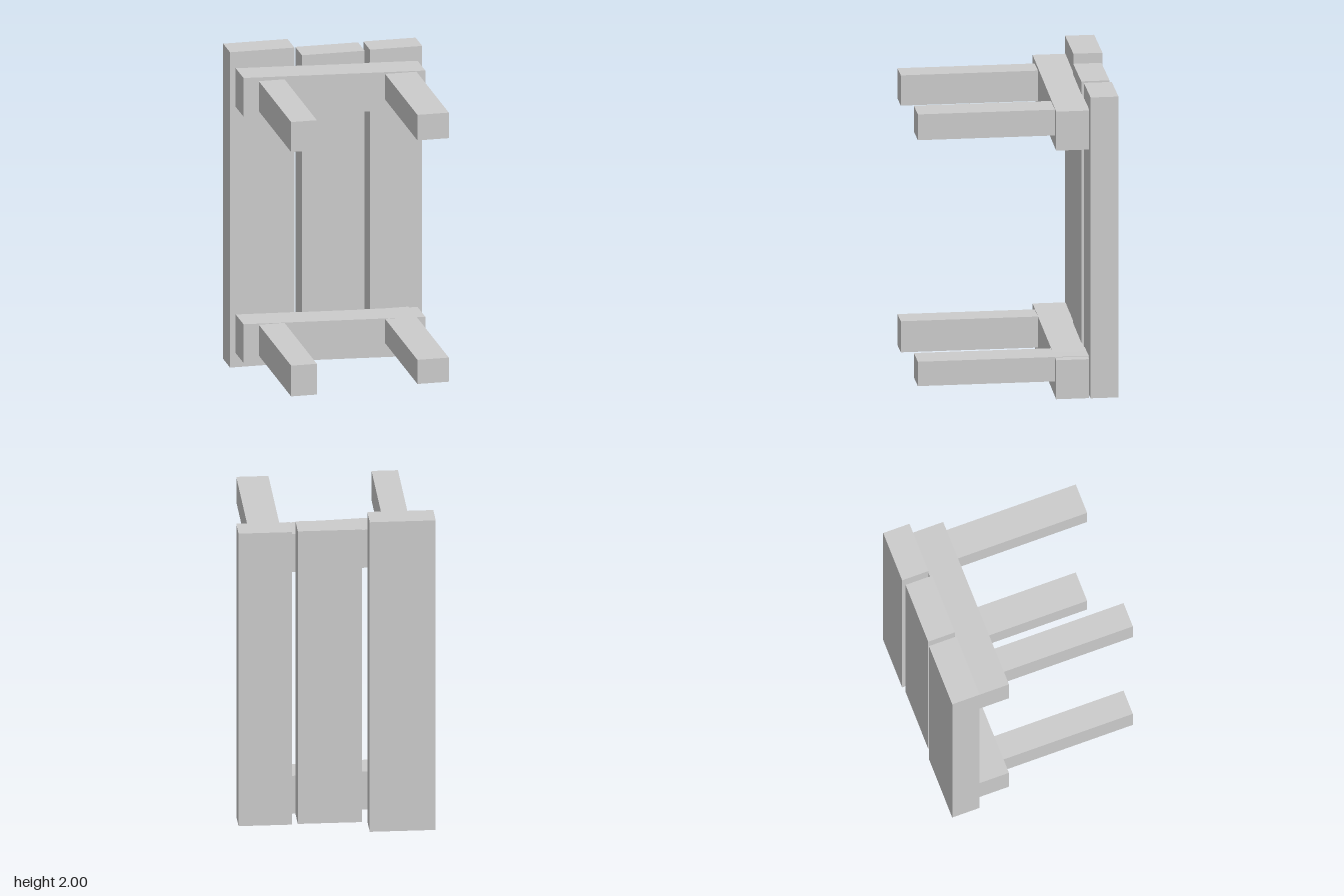
import * as THREE from 'three';

const material = new THREE.MeshStandardMaterial({ color: 0xcccccc, flatShading: true });

// Box given by its extents on each axis; drop lowers the +x end, keeping the ends upright
function beam(name, [x0, x1], [y0, y1], [z0, z1], drop = 0) {
  const geometry = new THREE.BoxGeometry(x1 - x0, y1 - y0, z1 - z0);
  geometry.translate((x0 + x1) / 2, (y0 + y1) / 2, (z0 + z1) / 2);
  const p = geometry.attributes.position;
  for (let i = 0; i < p.count; i++) {
    p.setY(i, p.getY(i) - drop * (p.getX(i) - x0) / (x1 - x0));
  }
  geometry.computeVertexNormals();
  const mesh = new THREE.Mesh(geometry, material);
  mesh.name = name;
  return mesh;
}

export function createModel() {
  const table = new THREE.Group();
  table.name = 'plankTable';

  // Three uneven planks of the table top, standing on end
  table.add(
    beam('rightPlank', [-0.6, -0.2], [0, 2], [-0.607, -0.43]),
    beam('middlePlank', [-0.155, 0.235], [0.06, 1.95], [-0.595, -0.423]),
    beam('leftPlank', [0.27, 0.595], [0.06, 1.95], [-0.604, -0.434]),
  );

  // Each end has a slanted crossbar carrying two legs
  const ends = [
    { name: 'lower', bar: [0.09, 0.335], right: [0.13, 0.325], left: [0.15, 0.303] },
    { name: 'upper', bar: [1.652, 1.897], right: [1.68, 1.87], left: [1.695, 1.857] },
  ];
  for (const { name, bar, right, left } of ends) {
    table.add(
      beam(name + 'Crossbar', [-0.565, 0.565], bar, [-0.428, -0.228], 0.037),
      beam(name + 'RightLeg', [-0.47, -0.31], right, [-0.432, 0.607]),
      beam(name + 'LeftLeg', [0.315, 0.51], left, [-0.436, 0.607]),
    );
  }
  return table;
}
